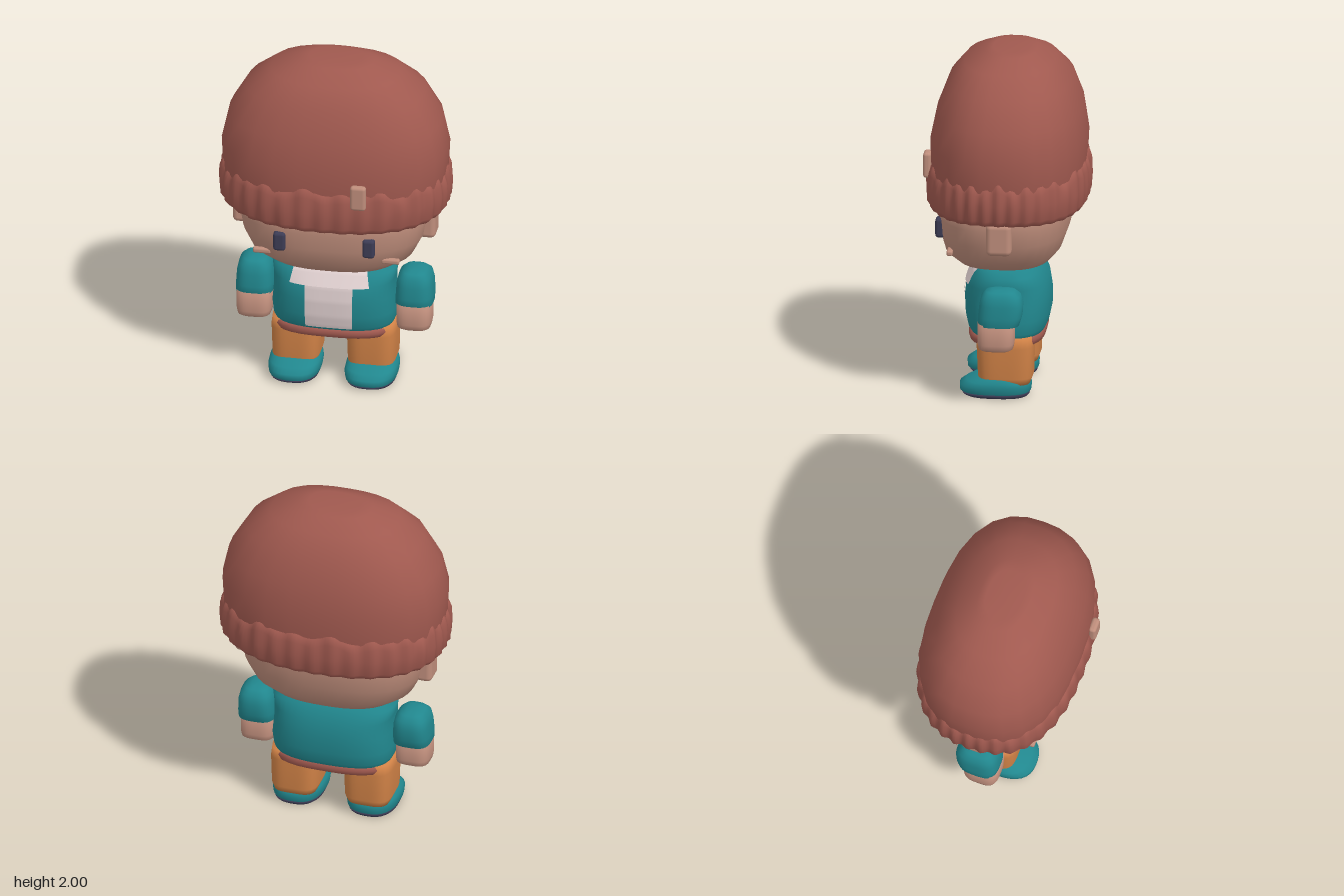
import * as THREE from 'three';
import { RoundedBoxGeometry } from 'three/addons/geometries/RoundedBoxGeometry.js';

const mat = (name, color) => {
  const m = new THREE.MeshStandardMaterial({ color });
  m.name = name;
  return m;
};

// Smooth closed skin over superellipse rings; each ring is [y, halfWidth, zFront, zBack]
function loft(rings, { n = 2.5, cx = 0, seg = 40, ripple = null } = {}) {
  const pos = [], idx = [];
  rings.forEach(([y, rx, zf, zb], k) => {
    for (let j = 0; j < seg; j++) {
      const t = (j / seg) * Math.PI * 2, c = Math.cos(t), s = Math.sin(t);
      const r = (Math.abs(c) ** n + Math.abs(s) ** n) ** (-1 / n);
      const [scale, dy] = ripple ? ripple(t, k) : [1, 0];
      pos.push(cx + rx * r * c * scale, y + dy, (zf + zb) / 2 + ((zf - zb) / 2) * r * s * scale);
    }
  });
  const last = rings.length - 1, bottom = rings.length * seg, top = bottom + 1;
  for (const k of [0, last]) pos.push(cx, rings[k][0], (rings[k][2] + rings[k][3]) / 2);
  for (let j = 0; j < seg; j++) {
    const j2 = (j + 1) % seg;
    for (let k = 0; k < last; k++) {
      const a = k * seg + j, b = k * seg + j2;
      idx.push(a, a + seg, b, b, a + seg, b + seg);
    }
    idx.push(bottom, j, j2, top, last * seg + j2, last * seg + j);
  }
  const g = new THREE.BufferGeometry();
  g.setAttribute('position', new THREE.Float32BufferAttribute(pos, 3));
  g.setIndex(idx);
  g.computeVertexNormals();
  return g;
}

// Front surface depth of a lofted body at (x, y)
function frontZ(rings, n, x, y) {
  let k = 0;
  while (k < rings.length - 2 && y > rings[k + 1][0]) k++;
  const A = rings[k], B = rings[k + 1], t = (y - A[0]) / (B[0] - A[0]);
  const [rx, zf, zb] = [1, 2, 3].map((i) => A[i] + (B[i] - A[i]) * t);
  const d = Math.max(0, 1 - Math.abs(x / rx) ** n) ** (1 / n);
  return (zf + zb) / 2 + ((zf - zb) / 2) * d;
}

export function createModel() {
  const model = new THREE.Group();
  model.name = 'character';

  const wool = mat('brownWool', 0xa0594f);
  const skin = mat('skin', 0xbe8d7b);
  const teal = mat('tealCloth', 0x21878e);
  const white = mat('paleShirt', 0xe0d0d0);
  const orange = mat('orangeTrousers', 0xcf8146);
  const navy = mat('darkNavy', 0x3c3c55);

  const add = (name, geo, material) => {
    const m = new THREE.Mesh(geo, material);
    m.name = name;
    model.add(m);
    return m;
  };
  const box = (name, x, y, z, w, h, d, r, material) => {
    const m = add(name, new RoundedBoxGeometry(w, h, d, 3, r), material);
    m.position.set(x, y, z);
    return m;
  };

  // Head
  add('head', loft([
    [0.75, 0.24, 0.2, -0.19], [0.775, 0.37, 0.29, -0.25], [0.84, 0.465, 0.355, -0.305],
    [0.95, 0.52, 0.385, -0.345], [1.05, 0.537, 0.392, -0.36], [1.2, 0.545, 0.392, -0.37],
  ], { n: 2.6 }), skin);

  // Knitted hat: crown and ribbed brim
  add('hatCrown', loft([
    [1.2, 0.61, 0.42, -0.42], [1.3, 0.638, 0.437, -0.437], [1.48, 0.647, 0.44, -0.446],
    [1.65, 0.61, 0.405, -0.42], [1.82, 0.51, 0.34, -0.36], [1.93, 0.37, 0.25, -0.265],
    [1.99, 0.22, 0.13, -0.16], [2.0, 0.15, 0.09, -0.12],
  ], { n: 2.5, seg: 28 }), wool);
  add('hatBrim', loft([
    [1.1, 0.58, 0.41, -0.4], [1.105, 0.62, 0.435, -0.43], [1.14, 0.65, 0.455, -0.455],
    [1.23, 0.657, 0.46, -0.462], [1.3, 0.652, 0.455, -0.458], [1.345, 0.635, 0.44, -0.443],
    [1.36, 0.6, 0.41, -0.41],
  ], {
    n: 2.4, seg: 216,
    ripple: (t, k) => [
      1 + (k > 0 && k < 6 ? 0.012 * Math.cos(36 * t) : 0),
      k > 3 ? 0.012 * Math.cos(18 * t) + 0.01 * Math.cos(11 * t) : 0.008 * Math.cos(2 * t),
    ],
  }), wool);
  box('hatTag', 0.21, 1.345, 0.445, 0.09, 0.15, 0.045, 0.018, skin);

  // Jacket and the shirt panels showing through it
  const torso = [
    [0.34, 0.335, 0.2, -0.205], [0.38, 0.35, 0.225, -0.225], [0.45, 0.357, 0.24, -0.24],
    [0.55, 0.348, 0.245, -0.24], [0.64, 0.347, 0.235, -0.225], [0.71, 0.36, 0.19, -0.19],
    [0.75, 0.29, 0.155, -0.15],
  ];
  add('jacket', loft(torso, { n: 2.8, seg: 56 }), teal);
  const shirtPanel = (name, halfW, y0, y1, topScale) => {
    const g = new THREE.PlaneGeometry(2 * halfW, y1 - y0, 16, 20);
    const p = g.attributes.position;
    for (let i = 0; i < p.count; i++) {
      const y = p.getY(i) + (y0 + y1) / 2;
      const x = p.getX(i) * (1 + (topScale - 1) * (y - y0) / (y1 - y0));
      p.setXYZ(i, x, y, frontZ(torso, 2.8, x, y) + 0.006);
    }
    g.computeVertexNormals();
    add(name, g, white);
  };
  shirtPanel('shirtFront', 0.135, 0.375, 0.645, 1.03);
  shirtPanel('shirtCollar', 0.23, 0.64, 0.748, 0.9);

  add('belt', loft([
    [0.3, 0.32, 0.195, -0.195], [0.31, 0.34, 0.215, -0.212], [0.335, 0.348, 0.222, -0.218],
    [0.355, 0.342, 0.215, -0.212], [0.362, 0.32, 0.2, -0.2],
  ], { n: 3 }), wool);

  for (const s of [1, -1]) {
    const side = s > 0 ? 'left' : 'right';

    // Face
    box(side + 'Eye', 0.257 * s, 0.987, 0.367, 0.07, 0.115, 0.055, 0.018, navy);
    box(side + 'Cheek', 0.37 * s, 0.88, 0.3, 0.105, 0.032, 0.035, 0.012, skin);
    box(side + 'Ear', 0.535 * s, 1.015, 0.005, 0.1, 0.19, 0.145, 0.03, skin);

    // Arm
    add(side + 'Sleeve', loft([
      [0.485, 0.095, 0.11, -0.09], [0.49, 0.107, 0.128, -0.105], [0.54, 0.107, 0.13, -0.12],
      [0.61, 0.103, 0.122, -0.125], [0.66, 0.092, 0.11, -0.11], [0.685, 0.065, 0.085, -0.08],
      [0.695, 0.035, 0.05, -0.05],
    ], { n: 3.2, cx: 0.46 * s }), teal);
    add(side + 'Hand', loft([
      [0.34, 0.08, 0.11, -0.055], [0.35, 0.095, 0.125, -0.07], [0.38, 0.1, 0.132, -0.075],
      [0.5, 0.1, 0.132, -0.075],
    ], { n: 3.5, cx: 0.46 * s }), skin);

    // Leg and shoe
    add(side + 'Leg', loft([
      [0.08, 0.125, 0.14, -0.145], [0.12, 0.137, 0.152, -0.16],
      [0.3, 0.142, 0.16, -0.165], [0.36, 0.135, 0.15, -0.16],
    ], { n: 4, cx: 0.217 * s }), orange);
    add(side + 'Shoe', loft([
      [0.018, 0.135, 0.24, -0.135], [0.03, 0.146, 0.257, -0.147], [0.065, 0.151, 0.258, -0.15],
      [0.09, 0.147, 0.22, -0.14], [0.117, 0.13, 0.165, -0.09], [0.126, 0.1, 0.13, -0.04],
    ], { n: 2.6, cx: 0.22 * s }), teal);
    add(side + 'Sole', loft([
      [0, 0.128, 0.225, -0.13], [0.008, 0.138, 0.24, -0.138], [0.024, 0.142, 0.25, -0.143],
    ], { n: 2.6, cx: 0.22 * s }), navy);
  }

  return model;
}
